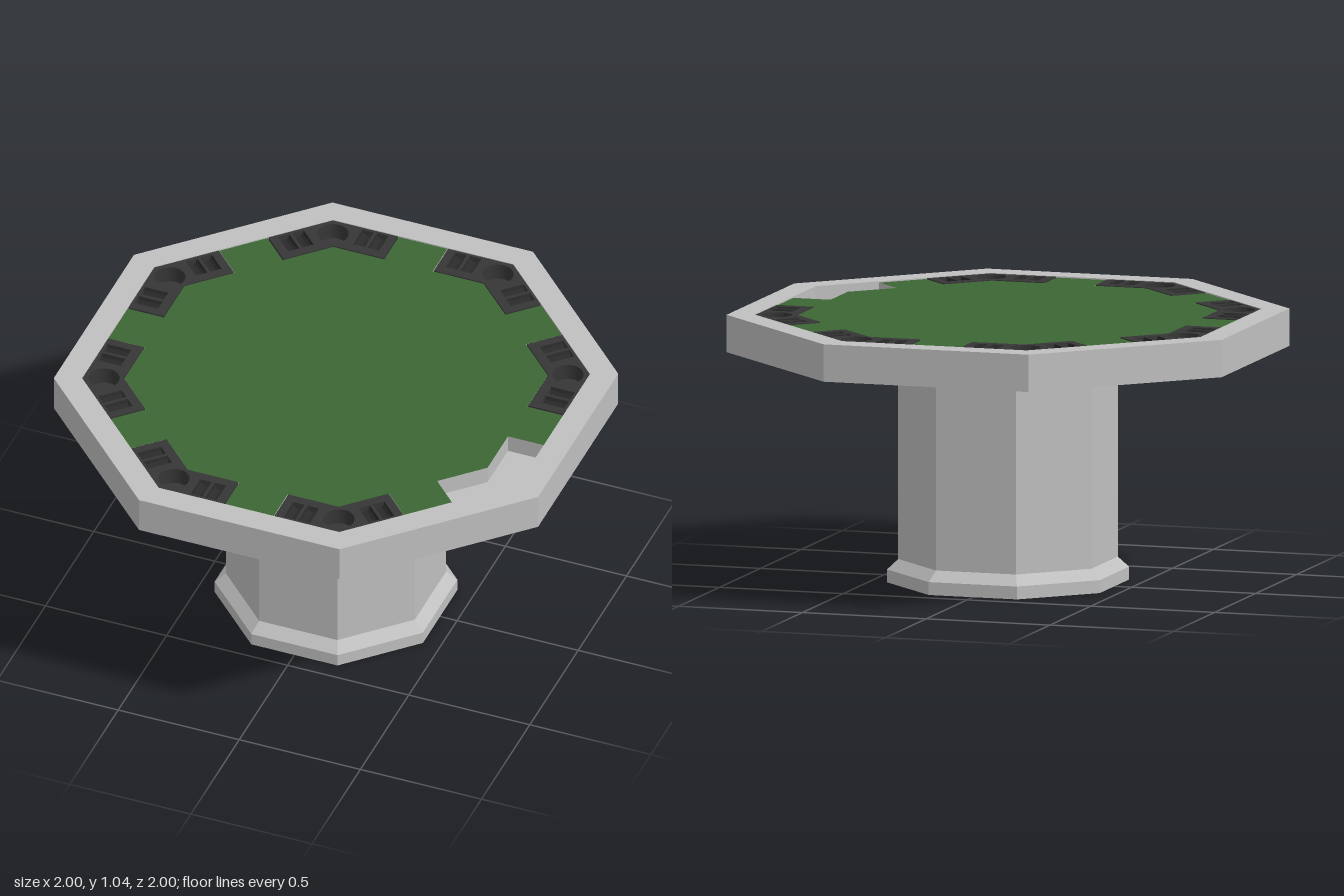
import * as THREE from 'three';

const TAN = Math.tan(Math.PI / 8), COS = Math.cos(Math.PI / 8);
const FLOOR = 0.97, FELT_TOP = 1.04, TRAY_TOP = 1.043;
const INNER = 0.75, OUTER = 0.899; // distances of tray edges from the centre

const mat = (name, color, extra = {}) => {
  const m = new THREE.MeshStandardMaterial({ color, flatShading: true, ...extra });
  m.name = name;
  return m;
};

function mesh(name, geometry, material) {
  const m = new THREE.Mesh(geometry, material);
  m.name = name;
  return m;
}

// Octagonal solid from [apothem, height] pairs, flat sides on the axes
function octagon(profile) {
  const pts = profile.map(([a, y]) => new THREE.Vector2(a / COS, y));
  const g = new THREE.LatheGeometry(pts, 8, Math.PI / 8).toNonIndexed();
  g.computeVertexNormals();
  return g;
}

// Point at distance n from the centre and offset t along side k
function sidePoint(k, n, t) {
  return new THREE.Vector2(n, t).rotateAround(new THREE.Vector2(), k * Math.PI / 4);
}

// Upright slab between two heights
function slab(shape, bottom, top) {
  const g = new THREE.ExtrudeGeometry(shape, { depth: top - bottom, bevelEnabled: false, curveSegments: 16 });
  return g.rotateX(-Math.PI / 2).translate(0, bottom, 0);
}

export function createModel() {
  const model = new THREE.Group();
  const grey = mat('light grey', 0xc0c0c0);
  const green = mat('green felt', 0x3d6634);
  const dark = mat('tray black', 0x363636);
  const slotDark = mat('slot black', 0x2a2a2a, { side: THREE.DoubleSide });

  // Pedestal with flared foot
  model.add(mesh('pedestal', octagon([
    [0, 0], [0.43, 0], [0.43, 0.05], [0.39, 0.09], [0.39, 0.88]]), grey));

  // Table body: sloped underside, raised rim and recessed floor
  model.add(mesh('tableBody', octagon([
    [0.38, 0.873], [0.41, 0.88], [1, 0.9], [1, 1.045], [0.9, 1.045], [0.9, FLOOR], [0, FLOOR]]), grey));

  // Felt surface with a notch at every corner
  const feltPoints = [];
  for (let k = 0; k < 8; k++) {
    for (const [n, t] of [[INNER, -0.1], [0.9, -0.1], [0.9, 0.1], [INNER, 0.1], [INNER, INNER * TAN]]) {
      feltPoints.push(sidePoint(k, n, t));
    }
  }
  model.add(mesh('felt', slab(new THREE.Shape(feltPoints), FLOOR, FELT_TOP), [green, grey]));

  // Tray outline bent around one corner
  const inner = INNER + 0.002, end = 0.104;
  const trayShape = new THREE.Shape([
    sidePoint(0, inner, end), sidePoint(0, OUTER, end), sidePoint(0, OUTER, OUTER * TAN),
    sidePoint(1, OUTER, -end), sidePoint(1, inner, -end), sidePoint(0, inner, inner * TAN)]);

  // Cup hole and chip slots
  const cup = new THREE.Vector2(0.89, 0).rotateAround(new THREE.Vector2(), Math.PI / 8);
  trayShape.holes.push(new THREE.Path().absarc(cup.x, cup.y, 0.06, 0, Math.PI * 2, true));
  const slots = [];
  for (const [k, sign] of [[0, 1], [1, -1]]) {
    for (const t of [0.162, 0.222]) {
      slots.push([k, sign * t]);
      const corners = [[0.79, -0.024], [0.79, 0.024], [0.888, 0.024], [0.888, -0.024]];
      trayShape.holes.push(new THREE.Path(corners.map(([n, d]) => sidePoint(k, n, sign * t + d))));
    }
  }
  const trayGeometry = slab(trayShape, FLOOR, TRAY_TOP);
  const cupFloor = new THREE.CircleGeometry(0.061, 32).rotateX(-Math.PI / 2).translate(cup.x, FLOOR + 0.005, -cup.y);
  const trough = new THREE.CylinderGeometry(0.024, 0.024, 0.098, 6, 1, true, Math.PI, Math.PI).rotateZ(Math.PI / 2);

  // Seven trays; the eighth corner stays an empty recess
  for (let i = 0; i < 7; i++) {
    const tray = new THREE.Group();
    tray.name = 'chipTray';
    tray.add(mesh('trayPlate', trayGeometry, dark), mesh('cupFloor', cupFloor, dark));
    for (const [k, t] of slots) {
      const p = sidePoint(k, 0.839, t);
      const slot = mesh('chipSlot', trough, slotDark);
      slot.position.set(p.x, TRAY_TOP - 0.003, -p.y);
      slot.rotation.y = k * Math.PI / 4;
      tray.add(slot);
    }
    tray.rotation.y = i * Math.PI / 4;
    model.add(tray);
  }
  return model;
}
